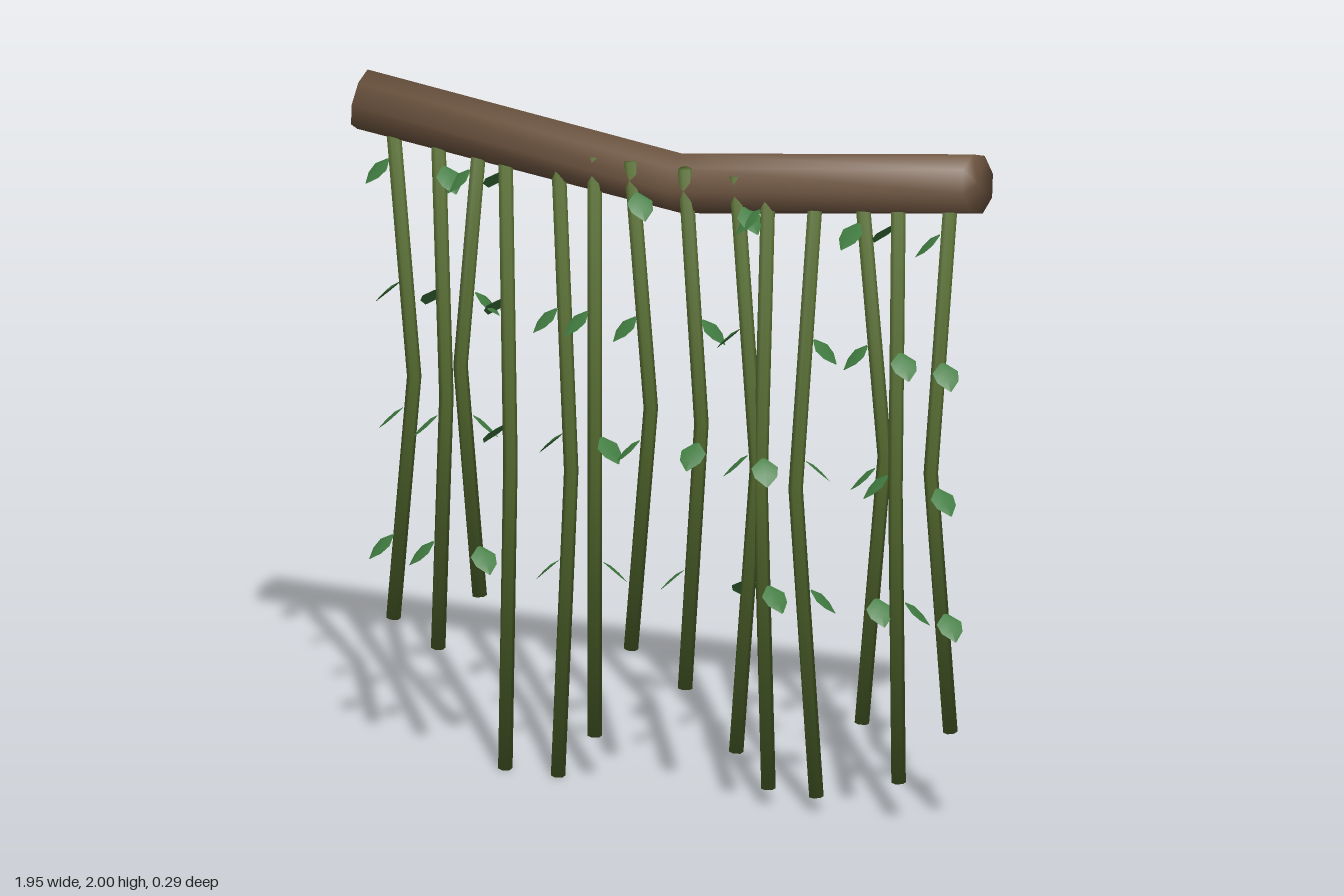
import * as THREE from 'three';

const bark = new THREE.MeshStandardMaterial({ color: 0x6f5641 });
bark.name = 'bark brown';
const stem = new THREE.MeshStandardMaterial({ color: 0x556b2f });
stem.name = 'vine olive';
const foliage = new THREE.MeshStandardMaterial({ color: 0x417c41, side: THREE.DoubleSide });
foliage.name = 'leaf green';

// Capped limb through a few points, with normals blended over the end edges
function limb(points, radius, sides, turn) {
  const n = points.length - 1;
  const rings = [];
  points.forEach((p, i) => {
    const t = points[Math.min(i + 1, n)].clone().sub(points[Math.max(i - 1, 0)]).normalize();
    const q = new THREE.Quaternion().setFromUnitVectors(new THREE.Vector3(0, 1, 0), t);
    const end = i === 0 ? -1 : i === n ? 1 : 0;
    const cap = { p, q, r: 0, out: 0, along: end };
    if (end < 0) rings.push(cap);
    rings.push({ p, q, r: radius, out: 1, along: end * 0.8 });
    if (end > 0) rings.push(cap);
  });
  const pos = [], nor = [], idx = [];
  rings.forEach(({ p, q, r, out, along }, i) => {
    for (let j = 0; j <= sides; j++) {
      const a = ((j + turn) / sides) * Math.PI * 2;
      const c = Math.cos(a), s = Math.sin(a);
      pos.push(...new THREE.Vector3(c * r, 0, s * r).applyQuaternion(q).add(p).toArray());
      nor.push(...new THREE.Vector3(c * out, along, s * out).normalize().applyQuaternion(q).toArray());
      if (i < rings.length - 1 && j < sides) {
        const k = i * (sides + 1) + j, m = k + sides + 1;
        idx.push(k, m, k + 1, m, m + 1, k + 1);
      }
    }
  });
  const g = new THREE.BufferGeometry();
  g.setAttribute('position', new THREE.Float32BufferAttribute(pos, 3));
  g.setAttribute('normal', new THREE.Float32BufferAttribute(nor, 3));
  g.setIndex(idx);
  return g;
}

// Drooping leaf growing along +z from its base
function leafGeometry() {
  const g = new THREE.PlaneGeometry(1, 1, 2, 3);
  const p = g.attributes.position;
  const widths = [0.014, 0.076, 0.064, 0.004];
  for (let i = 0; i < p.count; i++) {
    const t = 0.5 - p.getY(i);
    const x = p.getX(i);
    const w = widths[Math.round(t * 3)];
    p.setXYZ(i, x * w, -0.065 * Math.pow(t, 1.4) - Math.abs(x) * w * 0.2, 0.07 * t);
  }
  g.computeVertexNormals();
  return g;
}

// x at the ends, sideways and forward bend at mid height, foot height,
// then the heading in degrees of the leaf at each level (0 = +x, 90 = front)
const vines = [
  [-0.865, 0.065, 0.0, 0.4, [130, 180, 165, 135]],
  [-0.725, 0.04, 0.03, 0.33, [35, 215, 160, 140]],
  [-0.595, -0.06, 0.0, 0.5, [135, 345, 330, 40]],
  [-0.515, 0.04, 0.05, 0.003, [215, 210, 195, null]],
  [-0.35, 0.065, 0.05, 0.003, [null, 135, 180, 175]],
  [-0.235, 0.01, 0.02, 0.135, [null, 130, 20, 320]],
  [-0.122, 0.062, 0.0, 0.405, [45, 130, 155, null]],
  [0.047, 0.02, -0.065, 0.31, [null, 0, 90, 170]],
  [0.207, 0.065, 0.0, 0.145, [30, 180, 160, 235]],
  [0.308, -0.025, 0.0, 0.05, [135, null, 55, 30]],
  [0.458, -0.065, 0.0, 0.045, [null, 0, 320, 345]],
  [0.6, 0.05, -0.045, 0.28, [110, 135, 155, 45]],
  [0.715, -0.01, 0.0, 0.12, [200, 45, 140, 340]],
  [0.877, -0.03, 0.065, 0.29, [150, 45, 30, 40]],
];
const leafLevels = [1.755, 1.39, 1.025, 0.65];
const TOP = 1.84, DEPTH = 0.035;

export function createModel() {
  const model = new THREE.Group();
  model.name = 'hangingVines';

  // Bent branch carrying the vines
  const branch = new THREE.Mesh(limb([
    new THREE.Vector3(-0.962, 1.914, 0.035),
    new THREE.Vector3(0, 1.77, -0.042),
    new THREE.Vector3(0.962, 1.914, 0.035),
  ], 0.088, 8, 0), bark);
  branch.name = 'branch';
  model.add(branch);

  const leafShape = leafGeometry();
  vines.forEach(([x, bendX, bendZ, foot, headings]) => {
    const vine = new THREE.Group();
    vine.name = 'vine';
    const mid = (TOP + foot) / 2;
    const stalk = new THREE.Mesh(limb([
      new THREE.Vector3(x, foot, DEPTH),
      new THREE.Vector3(x + bendX, mid, DEPTH + bendZ),
      new THREE.Vector3(x, TOP, DEPTH),
    ], 0.0205, 6, 0.5), stem);
    stalk.name = 'stalk';
    vine.add(stalk);

    // Leaves placed on the bent stalk
    headings.forEach((deg, i) => {
      if (deg === null) return;
      const y = leafLevels[i];
      const k = 1 - Math.abs(y - mid) / (TOP - mid);
      const a = THREE.MathUtils.degToRad(deg);
      const leaf = new THREE.Mesh(leafShape, foliage);
      leaf.name = 'leaf';
      leaf.position.set(x + bendX * k + Math.cos(a) * 0.025, y, DEPTH + bendZ * k + Math.sin(a) * 0.02);
      leaf.rotation.y = Math.PI / 2 - a;
      vine.add(leaf);
    });
    model.add(vine);
  });
  return model;
}
